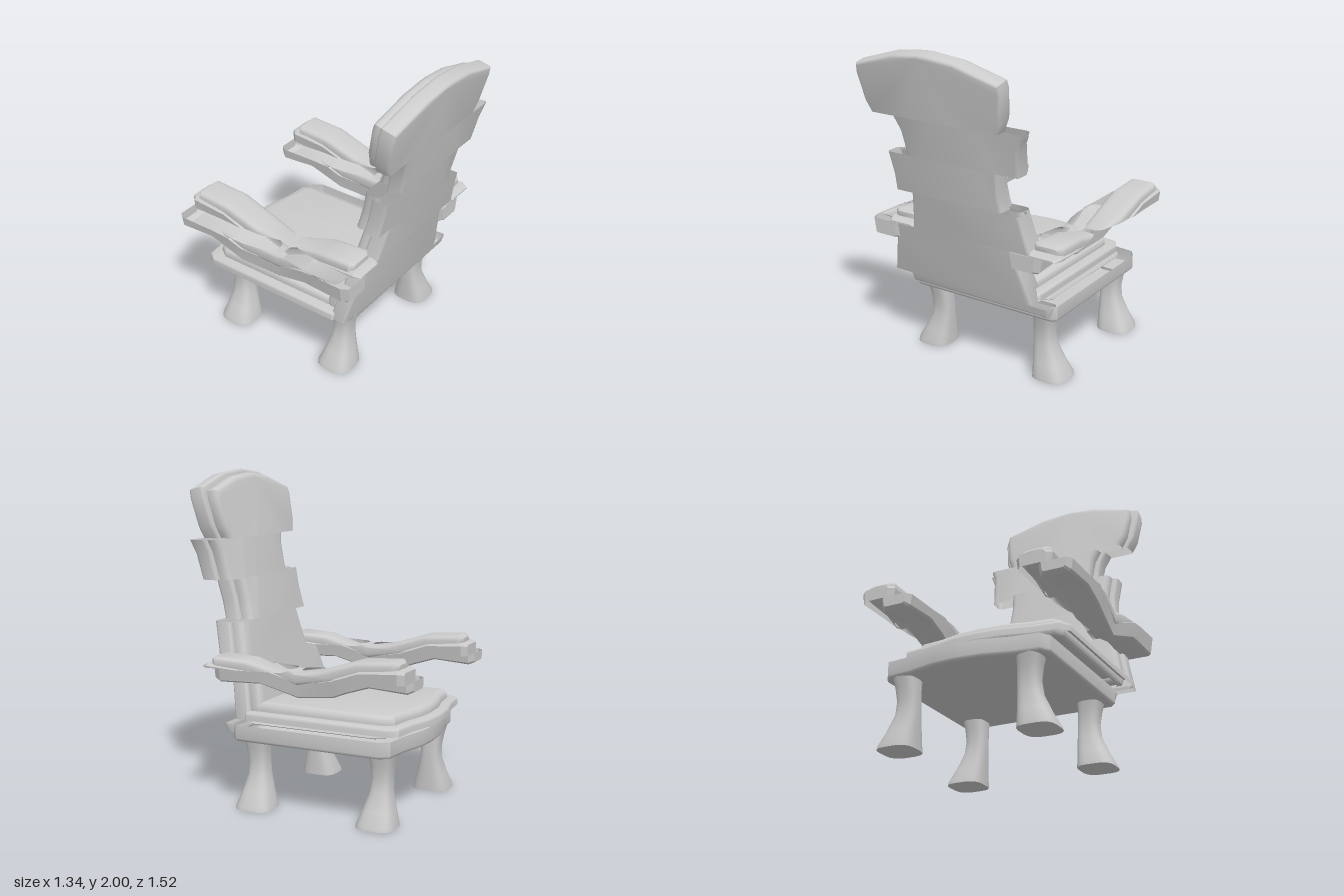
import * as THREE from 'three';
import { toCreasedNormals } from 'three/addons/utils/BufferGeometryUtils.js';

const material = new THREE.MeshStandardMaterial({ color: 0xcccccc, side: THREE.DoubleSide });

// Horizontal bands of the chair: [bottom, top, sideways shift]
const BANDS = [
  [-1, 0.51, 0.055], [0.51, 0.86, -0.065], [0.86, 1.1, 0.06],
  [1.1, 1.35, -0.055], [1.35, 1.59, 0.09], [1.59, 3, -0.065],
];

// Keeps the part of a polygon above (sign 1) or below (sign -1) height h
function clip(poly, h, sign) {
  const out = [];
  poly.forEach((a, i) => {
    const b = poly[(i + 1) % poly.length];
    const da = (a[1] - h) * sign, db = (b[1] - h) * sign;
    if (da >= 0) out.push(a);
    if (da * db < 0) out.push(a.map((v, k) => v + (b[k] - v) * da / (da - db)));
  });
  return out;
}

// Cuts a geometry into the bands and slides each one sideways
function sliceAndShift(geometry) {
  const p = geometry.attributes.position, n = geometry.attributes.normal;
  const pos = [], nor = [];
  for (let i = 0; i < p.count; i += 3) {
    const tri = [i, i + 1, i + 2].map(j =>
      [p.getX(j), p.getY(j), p.getZ(j), n.getX(j), n.getY(j), n.getZ(j)]);
    for (const [low, high, shift] of BANDS) {
      const poly = clip(clip(tri, low, 1), high, -1);
      for (let k = 1; k + 1 < poly.length; k++) {
        for (const v of [poly[0], poly[k], poly[k + 1]]) {
          pos.push(v[0] + shift, v[1], v[2]);
          nor.push(v[3], v[4], v[5]);
        }
      }
    }
  }
  const g = new THREE.BufferGeometry();
  g.setAttribute('position', new THREE.Float32BufferAttribute(pos, 3));
  g.setAttribute('normal', new THREE.Float32BufferAttribute(nor, 3));
  return g;
}

function part(name, geometry, crease = 0.6) {
  const mesh = new THREE.Mesh(sliceAndShift(toCreasedNormals(geometry, crease)), material);
  mesh.name = name;
  return mesh;
}

// Skins a row of closed rings and caps both ends
function loft(rings) {
  const n = rings[0].length, pos = rings.flat(2), index = [];
  for (let r = 0; r + 1 < rings.length; r++) {
    for (let i = 0; i < n; i++) {
      const a = r * n + i, b = r * n + (i + 1) % n;
      index.push(a, b, a + n, b, b + n, a + n);
    }
  }
  const last = (rings.length - 1) * n;
  for (let i = 1; i + 1 < n; i++) {
    index.push(0, i + 1, i, last, last + i, last + i + 1);
  }
  const g = new THREE.BufferGeometry();
  g.setAttribute('position', new THREE.Float32BufferAttribute(pos, 3));
  g.setIndex(index);
  return g;
}

// Rounded square of unit half size, as [u, v] pairs
function roundedSquare(count, power) {
  return Array.from({ length: count }, (_, i) => {
    const t = (i + 0.5) / count * Math.PI * 2;
    const f = v => Math.sign(v) * Math.abs(v) ** power;
    return [f(Math.cos(t)), f(Math.sin(t))];
  });
}

// Bevelled slab from the right half of a symmetric outline
function slab(half, depth, bevel) {
  const left = half.map(([x, y]) => [-x, y]).reverse();
  const shape = new THREE.Shape([...half, ...left].map(p => new THREE.Vector2(...p)));
  const g = new THREE.ExtrudeGeometry(shape, {
    depth: depth - bevel * 2, bevelEnabled: true, bevelThickness: bevel,
    bevelSize: bevel, bevelOffset: -bevel, bevelSegments: 3,
  });
  return g.translate(0, 0, bevel);
}

// Backrest frame and cushion, leaning backwards
const BACK = [
  [0.49, 0], [0.505, 0.06], [0.43, 0.36], [0.4, 0.51], [0.375, 0.67], [0.37, 0.77],
  [0.385, 0.925], [0.4, 1.08], [0.44, 1.17], [0.47, 1.235], [0.495, 1.41],
  [0.488, 1.465], [0.21, 1.55], [0.03, 1.57],
];
function backSlab(half, depth, bevel, back) {
  return slab(half, depth, bevel).translate(0, 0, back - depth)
    .rotateX(0.225).translate(0, 0.45, 0.41);
}

// Seat slabs with a bowed front edge
function seatSlab(w, front, bow, rear, bottom, top, bevel) {
  const half = [
    [w - 0.03, -rear], [w, -rear + 0.03], [w, front - 0.06], [w - 0.04, front],
    [w * 0.62, front + bow * 0.25], [w * 0.3, front + bow * 0.85], [0.02, front + bow],
  ];
  return slab(half, top - bottom, bevel).rotateX(-Math.PI / 2).translate(0, bottom, 0);
}

// Armrest stations: [z, half width, bottom, top]
const ARM_FRAME = [
  [-0.765, 0.08, 0.8, 0.93], [-0.73, 0.11, 0.785, 0.94], [-0.5, 0.11, 0.8, 0.92],
  [-0.36, 0.108, 0.755, 0.87], [-0.27, 0.1, 0.72, 0.83], [-0.03, 0.055, 0.69, 0.79],
  [0.2, 0.1, 0.76, 0.865], [0.47, 0.11, 0.75, 0.885], [0.515, 0.085, 0.765, 0.87],
];
const ARM_PAD = [
  [-0.725, 0.06, 0.9, 0.965], [-0.7, 0.095, 0.88, 0.985], [-0.48, 0.1, 0.87, 0.97],
  [-0.25, 0.095, 0.8, 0.895], [-0.02, 0.06, 0.76, 0.855], [0.22, 0.095, 0.83, 0.92],
  [0.43, 0.1, 0.85, 0.93], [0.455, 0.07, 0.87, 0.915],
];
function armLoft(stations, section, taper, x) {
  return loft(stations.map(([z, w, low, high]) => section.map(([u, v]) => [
    x + u * w * (v < 0 ? taper : 1), (low + high) / 2 + v * (high - low) / 2, z,
  ])));
}

// Leg stations: [y, inner x, outer x, z towards the end, z towards the middle]
const LEG = [
  [0, 0.32, 0.545, 0.36, 0.13], [0.02, 0.32, 0.54, 0.358, 0.133],
  [0.1, 0.318, 0.495, 0.335, 0.16], [0.2, 0.315, 0.45, 0.312, 0.188],
  [0.28, 0.315, 0.44, 0.312, 0.195], [0.36, 0.318, 0.45, 0.325, 0.19],
  [0.43, 0.32, 0.465, 0.345, 0.175],
];
function leg(side, zSign, zShift) {
  const section = roundedSquare(20, 0.62);
  return loft(LEG.map(([y, xi, xo, zo, zi]) => section.map(([u, v]) => [
    side * (xi + xo) / 2 + u * (xo - xi) / 2, y,
    zSign * (zo + zi) / 2 + zShift - v * (zo - zi) / 2,
  ])));
}

export function createModel() {
  const chair = new THREE.Group();
  chair.name = 'chair';

  chair.add(part('seatFrame', seatSlab(0.515, 0.64, 0.07, 0.37, 0.41, 0.56, 0.02)));
  chair.add(part('seatCushion', seatSlab(0.455, 0.59, 0.06, 0.31, 0.5, 0.615, 0.04)));

  const cushion = BACK.map(([x, s]) => [x * 0.92, 0.05 + s * 0.945]);
  chair.add(part('backFrame', backSlab(BACK, 0.1, 0.018, 0)));
  chair.add(part('backCushion', backSlab(cushion, 0.1, 0.035, -0.07)));

  // Chamfered section for the arm frame, soft one for the pad
  const frameSection = [
    [0.85, -1], [1, -0.85], [1, 0.8], [0.88, 1], [-0.88, 1], [-1, 0.8], [-1, -0.85], [-0.85, -1],
  ];
  const padSection = roundedSquare(20, 0.45);
  for (const side of [1, -1]) {
    const arm = new THREE.Group();
    arm.name = side > 0 ? 'leftArmrest' : 'rightArmrest';
    arm.add(part('armFrame', armLoft(ARM_FRAME, frameSection, 0.84, side * 0.5), 0.4));
    arm.add(part('armPad', armLoft(ARM_PAD, padSection, 1, side * 0.5), 0.7));
    chair.add(arm);

    chair.add(part('rearLeg', leg(side, 1, 0), 0.7));
    chair.add(part('frontLeg', leg(side, -1, -0.3), 0.7));
  }
  return chair;
}
